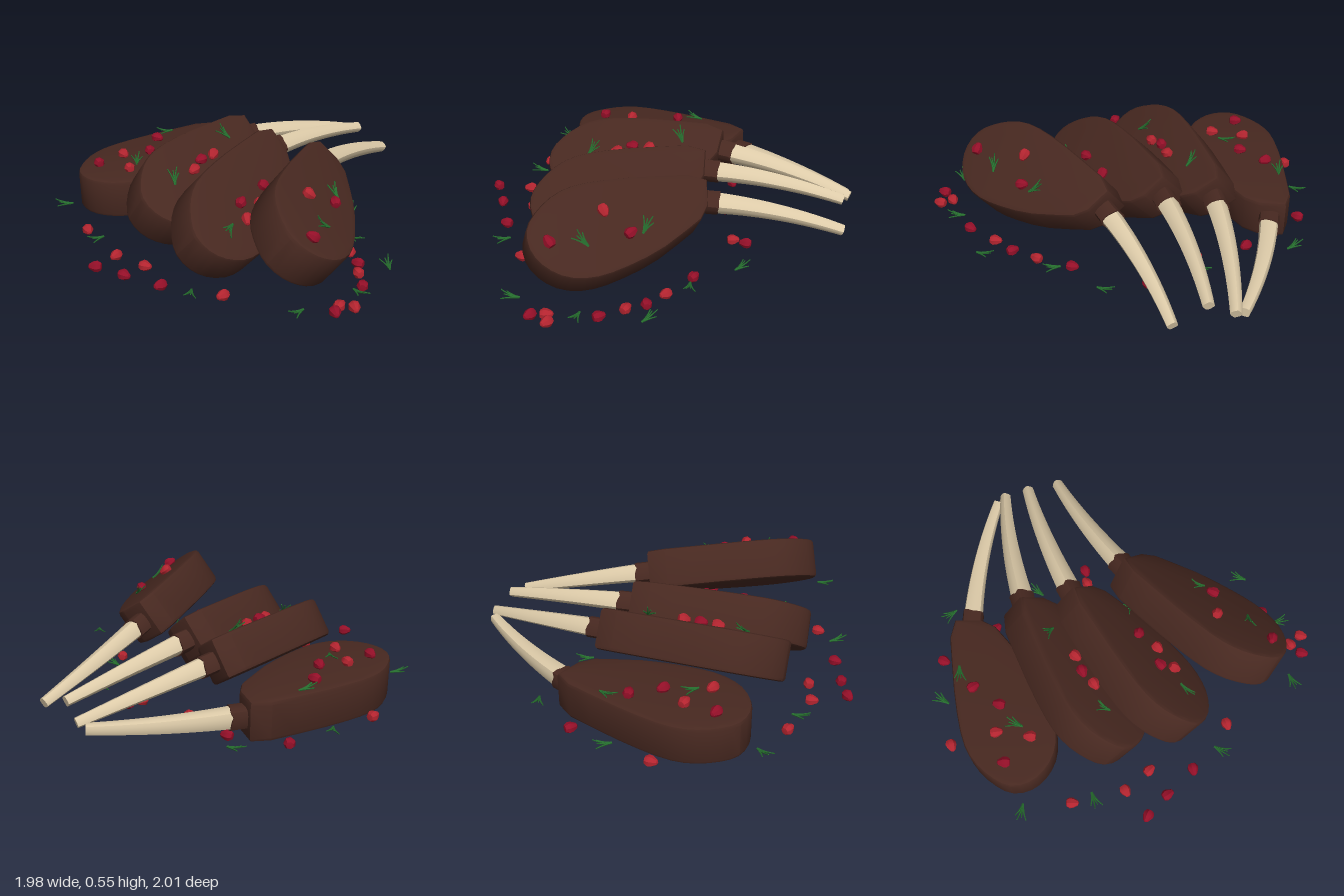
import * as THREE from 'three';
import { toCreasedNormals } from 'three/addons/utils/BufferGeometryUtils.js';

const V = (x, y, z) => new THREE.Vector3(x, y, z);

function material(name, color, side = THREE.FrontSide) {
  const m = new THREE.MeshStandardMaterial({ color, side });
  m.name = name;
  return m;
}

// small seeded random numbers
function makeRandom(seed) {
  return () => {
    seed = (seed * 16807) % 2147483647;
    return seed / 2147483647;
  };
}

// tube whose radius follows a rule; the last ring closes into a flat cap.
// power 2 gives a round section, higher powers a squarer one
function taperedTube(curve, rings, sides, power, radiusAt) {
  const geo = new THREE.TubeGeometry(curve, rings, 1, sides);
  const pos = geo.attributes.position, p = V(0, 0, 0);
  for (let i = 0; i <= rings; i++) {
    const onCap = i === rings;
    const t = Math.min(i, rings - 1) / rings;
    const centre = curve.getPointAt(i / rings), capCentre = curve.getPointAt(t);
    for (let j = 0; j <= sides; j++) {
      const k = i * (sides + 1) + j, angle = (j / sides) * Math.PI * 2;
      const square = (Math.abs(Math.cos(angle)) ** power + Math.abs(Math.sin(angle)) ** power) ** (-1 / power);
      p.fromBufferAttribute(pos, k).sub(centre).multiplyScalar(onCap ? 0 : radiusAt(t) * square).add(capCentre);
      pos.setXYZ(k, p.x, p.y, p.z);
    }
  }
  return toCreasedNormals(geo, 0.8);
}

// plump teardrop slab, origin at the narrow end
function meatGeometry() {
  const bevel = 0.018, thickness = 0.21;
  const shape = new THREE.Shape();
  shape.moveTo(0.018, -0.065);
  shape.lineTo(-0.03, 0.045);
  shape.lineTo(-0.09, 0.095);
  shape.splineThru([
    [-0.33, 0.165], [-0.55, 0.188], [-0.7, 0.178], [-0.81, 0.13], [-0.88, 0.05], [-0.907, -0.04],
    [-0.885, -0.13], [-0.81, -0.195], [-0.7, -0.243], [-0.57, -0.25], [-0.35, -0.205], [-0.05, -0.115],
  ].map(([a, b]) => new THREE.Vector2(a, b)));
  shape.closePath();
  const geo = new THREE.ExtrudeGeometry(shape, {
    depth: thickness - 2 * bevel, bevelEnabled: true, bevelThickness: bevel,
    bevelSize: bevel, bevelSegments: 2, curveSegments: 2,
  });
  geo.translate(0, 0, bevel - thickness / 2);
  return toCreasedNormals(geo, 0.5);
}

export function createModel() {
  const model = new THREE.Group();
  model.name = 'lambChops';
  const random = makeRandom(77);
  const meatMat = material('roasted meat', 0x472820, THREE.DoubleSide);
  const boneMat = material('bone', 0xdccaa8);
  const redMat = material('bright seed red', 0xb3242f);
  const darkRedMat = material('deep seed red', 0x940f28);
  const herbMat = material('herb green', 0x246a2c, THREE.DoubleSide);

  const add = (parent, name, geo, mat) => {
    const mesh = new THREE.Mesh(geo, mat);
    mesh.name = name;
    parent.add(mesh);
  };

  // meat, squarish tapering bone, and a ragged collar of meat where they meet
  const meatGeo = meatGeometry();
  const bonePath = new THREE.QuadraticBezierCurve3(V(0, 0, 0), V(0.36, 0.165, 0), V(0.66, 0.422, 0));
  const boneGeo = taperedTube(bonePath, 24, 16, 4, t => 0.051 - 0.027 * t);
  const cuffPath = new THREE.LineCurve3(V(-0.06, -0.03, 0), V(0.095, 0.045, 0));
  const cuffGeo = taperedTube(cuffPath, 8, 16, 4, () => 0.054);
  const cuffPos = cuffGeo.attributes.position;
  for (let i = 0; i < cuffPos.count; i++) {
    const x = cuffPos.getX(i), y = cuffPos.getY(i), z = cuffPos.getZ(i);
    if (x * 0.9 + y * 0.44 > 0.075) cuffPos.setX(i, x + 0.008 * Math.sin(y * 260 + z * 190));
  }

  // chops: bone root, bone tip and the normal of the upper face
  const chops = [
    { root: V(0.235, 0.4, 0.235), tip: V(0.94, 0.22, 0.13), normal: V(0.28, 0.8, 0.52) },
    { root: V(0.208, 0.39, -0.085), tip: V(0.93, 0.29, -0.05), normal: V(0.07, 0.75, 0.65) },
    { root: V(0.268, 0.37, -0.34), tip: V(0.96, 0.24, -0.18), normal: V(0.02, 0.81, 0.58) },
    { root: V(0.34, 0.215, -0.63), tip: V(0.96, 0.22, -0.23), normal: V(0, 1, 0) },
  ];
  const bend = Math.atan2(0.422, 0.66);
  chops.forEach((c, i) => {
    const t = c.tip.clone().sub(c.root).normalize();
    const n = c.normal.addScaledVector(t, -c.normal.dot(t)).normalize();
    const s = t.clone().cross(n);
    const u = t.clone().multiplyScalar(Math.cos(bend)).addScaledVector(s, -Math.sin(bend));
    const v = u.clone().cross(n);
    const chop = new THREE.Group();
    chop.name = 'chop' + (i + 1);
    chop.quaternion.setFromRotationMatrix(new THREE.Matrix4().makeBasis(u, v, n.clone().negate()));
    chop.position.copy(c.root);
    add(chop, 'meat', meatGeo, meatMat);
    add(chop, 'cuff', cuffGeo, meatMat);
    add(chop, 'bone', boneGeo, boneMat);
    model.add(chop);
  });

  // resting point: on a chop's upper face, or on a shallow dish shape
  const up = V(0, 1, 0);
  function rest(x, z, chopIndex) {
    if (chopIndex === undefined) {
      const r = Math.hypot(x, z);
      return { point: V(x, 0.06 + 0.22 * Math.max(0, r - 0.6), z), normal: up };
    }
    const { root, normal: n } = chops[chopIndex];
    const p = root.clone().addScaledVector(n, 0.105);
    return { point: V(x, p.y - (n.x * (x - p.x) + n.z * (z - p.z)) / n.y, z), normal: n };
  }
  function place(object, { point, normal }, lift, heading) {
    object.position.copy(point).addScaledVector(normal, lift);
    object.quaternion.setFromUnitVectors(up, normal)
      .multiply(new THREE.Quaternion().setFromAxisAngle(up, heading));
    model.add(object);
  }

  // fruit seeds: faceted teardrops lying on their sides
  const seedGeo = toCreasedNormals(new THREE.LatheGeometry(
    [[0, -0.031], [0.019, -0.028], [0.029, -0.011], [0.027, 0.006], [0.013, 0.031], [0, 0.037]]
      .map(([r, y]) => new THREE.Vector2(r, y)), 7), 0.6);
  seedGeo.rotateZ(Math.PI / 2);
  const seeds = [
    [-0.2, -0.97], [0.26, -0.84], [-0.73, -0.51], [0.34, -0.51], [-0.78, -0.23], [-0.95, -0.18], [0.33, -0.23],
    [-0.89, -0.04], [-0.73, -0.07], [-0.82, 0.14], [0.39, 0.06], [0.46, 0.08], [-0.67, 0.41], [0.22, 0.41],
    [0.1, 0.57], [0.02, 0.68], [-0.07, 0.75], [-0.18, 0.86], [-0.42, 0.91], [-0.49, 0.94], [-0.4, 0.98],
    [-0.43, 0.74, 0], [-0.21, 0.53, 0], [-0.07, 0.58, 0],
    [-0.33, 0.24, 1], [-0.3, 0.17, 1], [-0.2, 0.2, 1], [-0.1, 0.14, 1],
    [-0.27, -0.19, 2], [-0.19, -0.22, 2], [-0.1, -0.22, 2],
    [-0.44, -0.75, 3], [-0.28, -0.73, 3], [-0.15, -0.66, 3], [-0.37, -0.58, 3], [-0.01, -0.75, 3],
  ];
  seeds.forEach(([x, z, chop], i) => {
    const seed = new THREE.Mesh(seedGeo, i % 2 ? darkRedMat : redMat);
    seed.name = 'seed';
    place(seed, rest(x, z, chop), chop === undefined ? 0 : 0.015, random() * Math.PI * 2);
  });

  // herb sprigs: a narrow fan of thin needles curling upward
  const needles = [-0.42, -0.14, 0.12, 0.4].map((angle, i) => {
    const len = 0.105 - 0.02 * (i % 2), dx = Math.cos(angle), dz = Math.sin(angle);
    const curve = new THREE.QuadraticBezierCurve3(
      V(-0.05, 0, 0),
      V(-0.05 + dx * len * 0.5, 0.002, dz * len * 0.2),
      V(-0.05 + dx * len, 0.012 + 0.014 * (i % 3), dz * len));
    return taperedTube(curve, 7, 5, 2, t => 0.0058 * (1 - 0.6 * t));
  });
  // x, z, heading in degrees, chop
  const herbs = [
    [0.06, -0.93, 35], [-0.68, -0.77, 145], [0.49, -0.72, 105], [-0.77, -0.4, 175], [0.46, -0.22, 30],
    [-0.8, 0.32, 215], [0.46, 0.3, 45], [0.21, 0.52, 270], [-0.62, 0.82, 180], [0.06, 0.83, 50], [-0.28, 0.92, 255],
    [0, 0.52, 80, 0], [-0.29, 0.68, 150, 0], [0.06, 0.15, 110, 1], [-0.47, 0.25, 200, 1],
    [0.06, -0.3, 110, 2], [-0.4, -0.2, 60, 2], [0.08, -0.79, 160, 3], [-0.27, -0.63, 45, 3],
  ];
  herbs.forEach(([x, z, heading, chop]) => {
    const sprig = new THREE.Group();
    sprig.name = 'herbSprig';
    needles.forEach(geo => add(sprig, 'needle', geo, herbMat));
    place(sprig, rest(x, z, chop), 0.007, THREE.MathUtils.degToRad(heading));
  });

  return model;
}
